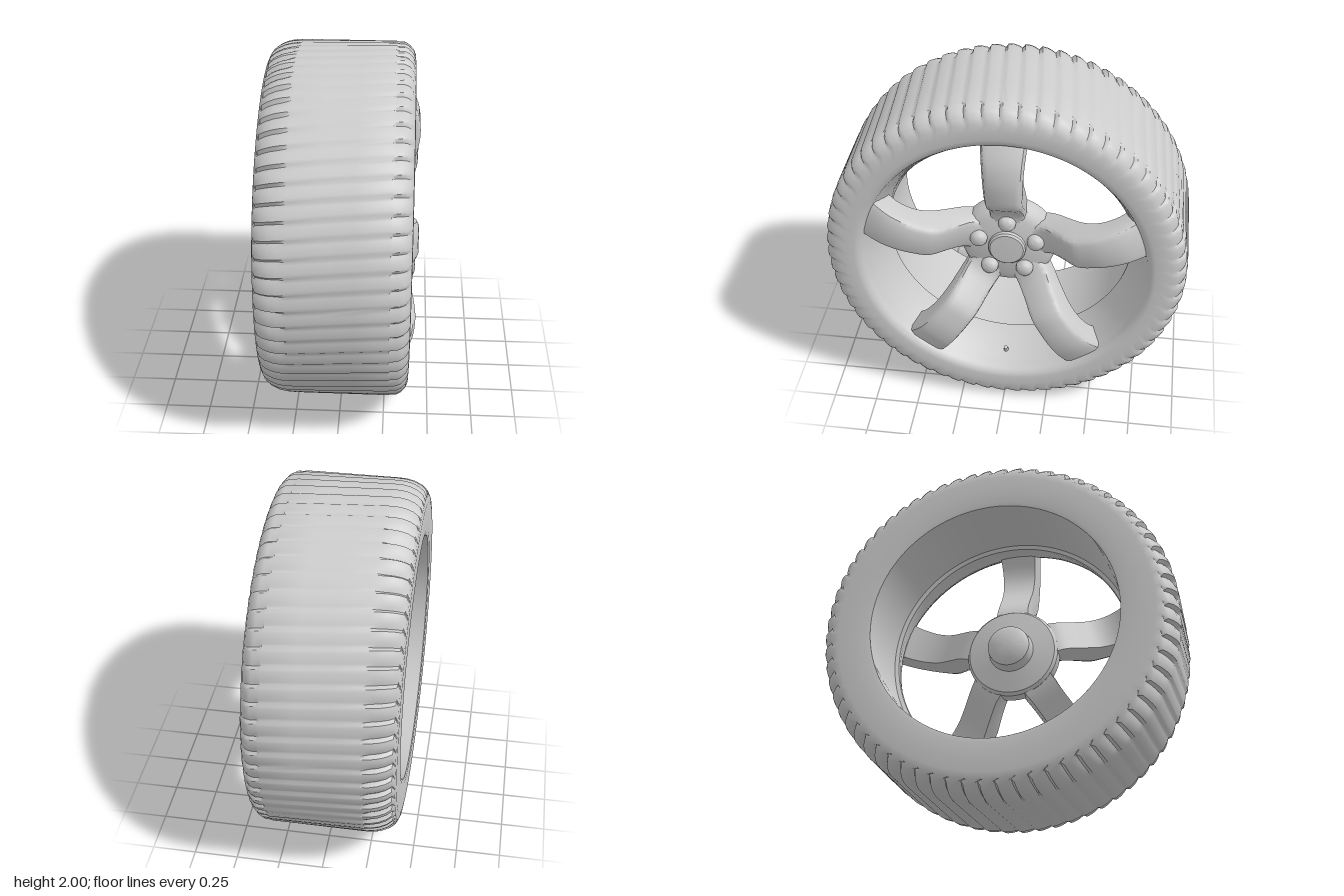
import * as THREE from 'three';
import { toCreasedNormals } from 'three/addons/utils/BufferGeometryUtils.js';

const TEETH = 66;
const GROOVE = [1, 0.6, 0.3, 0.1, 0, 0]; // dip across one tread block
const SPOKES = 5;
const STEP = (Math.PI * 2) / SPOKES;

const material = new THREE.MeshStandardMaterial({ color: 0xcccccc });
const thin = new THREE.MeshStandardMaterial({ color: 0xcccccc, side: THREE.DoubleSide });

function mesh(name, geometry, mat = material) {
  const m = new THREE.Mesh(geometry, mat);
  m.name = name;
  return m;
}

// Revolves [radius, x] pairs round the x axis
function revolve(profile, segments) {
  const pts = profile.map(([r, x]) => new THREE.Vector2(r, x));
  return new THREE.LatheGeometry(pts, segments).rotateZ(-Math.PI / 2);
}

// Tyre: revolved section with slanted grooves pressed into tread and shoulders
function tyreGeometry() {
  const profile = [
    [0.695, -0.415], [0.72, -0.42], [0.8, -0.42], [0.88, -0.42], [0.915, -0.415],
    [0.945, -0.4], [0.97, -0.37], [0.988, -0.33], [0.997, -0.29], [1, -0.24],
    [1, -0.08], [1, 0.1], [1, 0.275], [0.996, 0.285], [0.995, 0.32],
    [0.982, 0.345], [0.955, 0.37], [0.925, 0.382], [0.88, 0.385], [0.83, 0.385],
    [0.805, 0.38], [0.792, 0.365],
  ];
  const segments = TEETH * GROOVE.length;
  const geo = revolve(profile, segments);
  const p = geo.attributes.position;
  for (let i = 0; i < p.count; i++) {
    const row = i % profile.length;
    const column = Math.floor(i / profile.length);
    const x = p.getX(i);
    let r = profile[row][0];
    if (r < 0.92) continue;
    const depth = x < -0.27 ? 0.022 : x < 0.28 ? 0.008 : 0.014;
    r -= depth * GROOVE[column % GROOVE.length];
    const angle = Math.atan2(p.getY(i), p.getZ(i)) + 0.09 * x;
    p.setXYZ(i, x, r * Math.sin(angle), r * Math.cos(angle));
  }
  return toCreasedNormals(geo, 0.7);
}

// Spoke: chamfered section lofted outwards, [radius, half width, front x, back x]
function spokeGeometry() {
  const stations = [
    [0.1, 0.1, 0.18, 0.04], [0.22, 0.105, 0.205, 0.06], [0.3, 0.1, 0.28, 0.09],
    [0.4, 0.1, 0.383, 0.17], [0.48, 0.103, 0.407, 0.23], [0.57, 0.107, 0.417, 0.26],
    [0.66, 0.113, 0.407, 0.25], [0.72, 0.118, 0.386, 0.22], [0.79, 0.125, 0.35, 0.18],
  ];
  const section = (w, f, b) => [
    [w * 0.9, b], [w, f - 0.045], [w * 0.88, f - 0.012], [w * 0.65, f],
    [-w * 0.65, f], [-w * 0.88, f - 0.012], [-w, f - 0.045], [-w * 0.9, b],
  ];
  const curves = [0, 2].map((o) => new THREE.CatmullRomCurve3(
    stations.map((s) => new THREE.Vector3(s[0], s[o === 0 ? 1 : 2], s[3]))));
  const rings = 25, n = 8, pos = [], index = [];
  for (let i = 0; i < rings; i++) {
    const a = curves[0].getPoint(i / (rings - 1));
    const b = curves[1].getPoint(i / (rings - 1));
    for (const [z, x] of section(a.y, b.y, b.z)) pos.push(x, b.x, z);
  }
  for (let i = 0; i < rings - 1; i++) {
    for (let j = 0; j < n; j++) {
      const a = i * n + j, b = i * n + ((j + 1) % n);
      index.push(a, b, a + n, b, b + n, a + n);
    }
  }
  const geo = new THREE.BufferGeometry();
  geo.setAttribute('position', new THREE.Float32BufferAttribute(pos, 3));
  geo.setIndex(index);
  return toCreasedNormals(geo, 0.75);
}

export function createModel() {
  const model = new THREE.Group();
  model.name = 'wheel';
  const wheel = new THREE.Group();
  wheel.name = 'wheelAssembly';
  wheel.position.y = 1;
  model.add(wheel);

  wheel.add(mesh('tyre', tyreGeometry()));

  // Rim: rounded front lip, tapering seat, then a long inner barrel
  const rim = revolve([
    [0.805, 0.378], [0.794, 0.372], [0.785, 0.358], [0.778, 0.335], [0.765, 0.322],
    [0.755, 0.3], [0.735, 0.26], [0.71, 0.19], [0.688, 0.1], [0.69, 0.08],
    [0.712, 0.07], [0.712, -0.1], [0.705, -0.3], [0.695, -0.415],
  ], 120);
  wheel.add(mesh('rim', toCreasedNormals(rim, 0.6), thin));

  // Hub with a stub at the back and a shallow cap in front
  const hub = revolve([
    [0, -0.06], [0.09, -0.06], [0.12, -0.04], [0.13, 0.03], [0.25, 0.05],
    [0.265, 0.07], [0.265, 0.14], [0.245, 0.17], [0.2, 0.19], [0, 0.195],
  ], 60);
  wheel.add(mesh('hub', toCreasedNormals(hub, 0.6)));
  const cap = revolve([[0.108, 0.17], [0.104, 0.212], [0.094, 0.222], [0, 0.226]], 48);
  wheel.add(mesh('centreCap', toCreasedNormals(cap, 0.6)));

  // Spokes, each with a wheel nut at its foot
  const spoke = spokeGeometry();
  const nut = toCreasedNormals(revolve(
    [[0.05, 0.17], [0.048, 0.21], [0.04, 0.226], [0.025, 0.236], [0, 0.238]], 18), 0.8);
  for (let k = 0; k < SPOKES; k++) {
    const arm = new THREE.Group();
    arm.name = 'spokeArm';
    arm.rotation.x = k * STEP;
    const wheelNut = mesh('wheelNut', nut);
    wheelNut.position.y = 0.168;
    arm.add(mesh('spoke', spoke), wheelNut);
    wheel.add(arm);
  }

  // Valve stem between the two lower spokes
  const valve = mesh('valve', new THREE.CylinderGeometry(0.011, 0.016, 0.05, 12));
  valve.position.set(0.26, -0.72, 0);
  valve.rotation.z = -0.5;
  wheel.add(valve);

  return model;
}
